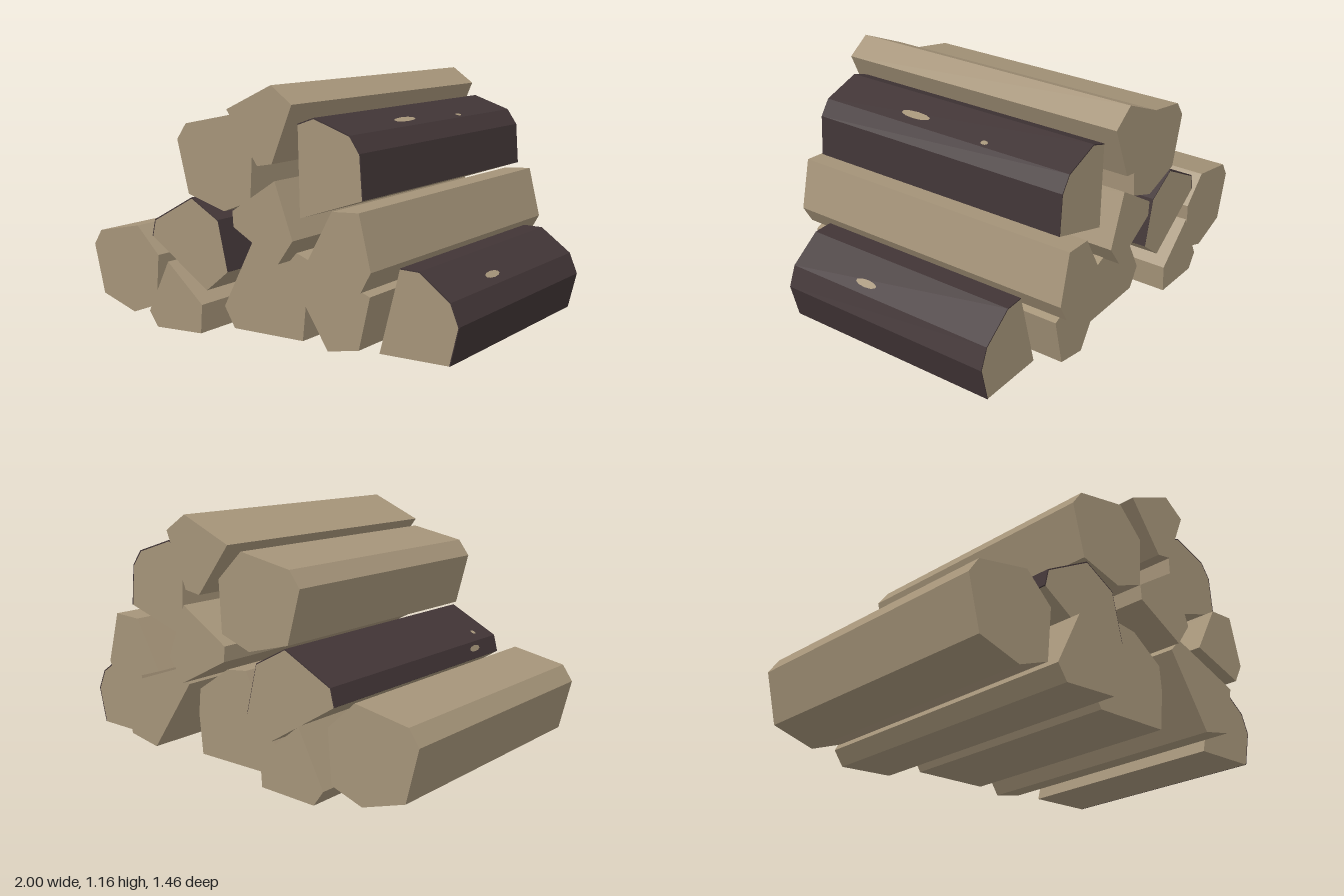
import * as THREE from 'three';

const wood = new THREE.MeshStandardMaterial({ color: 0xa59479 });
wood.name = 'wood';
const bark = new THREE.MeshStandardMaterial({ color: 0x413536 });
bark.name = 'bark';

// Prism along z, centred on z = 0
function prism(name, points, half, material) {
  const shape = new THREE.Shape(points.map(([x, y]) => new THREE.Vector2(x, y)));
  const geometry = new THREE.ExtrudeGeometry(shape, { depth: half * 2, bevelEnabled: false });
  geometry.translate(0, 0, -half);
  const mesh = new THREE.Mesh(geometry, material);
  mesh.name = name;
  return mesh;
}

// Bare split logs: cross-section and half length
const bareLogs = {
  lowerRightEndLog: [0.68, [[-1, .325], [-.95, .4], [-.69, .455], [-.555, .33], [-.575, .085], [-.73, .025], [-.94, .085]]],
  lowerRightSplitLog: [0.73, [[-.57, .07], [-.52, 0], [-.24, .02], [-.23, .155], [-.44, .325]]],
  lowerMiddleLog: [0.59, [[-.22, .12], [-.03, .475], [.08, .465], [.25, .35], [.26, .23], [.24, .04], [-.16, .025]]],
  lowerLeftSplitLog: [0.685, [[.225, .395], [.285, .46], [.665, .33], [.61, .095], [.45, .06]]],
  middleSplitLog: [0.73, [[-.035, .61], [.205, .765], [.3, .52], [.22, .41], [-.03, .54]]],
  middleLeftSplitLog: [0.73, [[.375, .44], [.505, .67], [.64, .68], [.7, .445], [.65, .355]]],
  upperRightLog: [0.68, [[-.41, .89], [-.355, .965], [-.09, 1.02], [.04, .89], [.025, .65], [-.13, .59], [-.345, .645]]],
  topSplitLog: [0.73, [[-.06, 1.05], [.19, 1.165], [.3, 1.09], [.19, .835], [.11, .82]]],
};

// Barked logs: inner split corner, outer bark outline, and bare chips [edge, position on edge, z, half width, half length]
const barkLogs = {
  middleRightBarkLog: {
    half: 0.68, apex: [-.245, .21],
    rim: [[-.59, .42], [-.57, .5], [-.33, .63], [-.17, .545], [-.115, .315]],
    chips: [[1, .2, .55, .014, .014], [0, .6, .47, .015, .045]],
  },
  upperLeftBarkLog: {
    half: 0.66, apex: [.285, .605],
    rim: [[.275, 1.005], [.36, 1.035], [.545, .975], [.595, .905], [.61, .715]],
    chips: [[1, .7, .18, .022, .08], [1, .88, -.22, .013, .018]],
  },
  lowerLeftBarkLog: {
    half: 0.543, apex: [.615, .045],
    rim: [[.715, .43], [.81, .43], [.96, .325], [1, .23], [.96, .06]],
    chips: [[1, .73, .14, .018, .058]],
  },
};

// Flat bare-wood spot lying just above one bark face
function chip(rim, [edge, t, z, halfWidth, halfLength]) {
  const [a, b] = [rim[edge], rim[edge + 1]];
  const dx = b[0] - a[0], dy = b[1] - a[1], len = Math.hypot(dx, dy);
  const normal = new THREE.Vector3(-dy / len, dx / len, 0);
  const mesh = new THREE.Mesh(new THREE.CircleGeometry(1, 10), wood);
  mesh.name = 'bareChip';
  mesh.scale.set(halfWidth, halfLength, 1);
  mesh.quaternion.setFromUnitVectors(new THREE.Vector3(0, 0, 1), normal);
  // Keep the long side of the spot along the log
  const along = new THREE.Vector3(0, 0, 1);
  const across = new THREE.Vector3().crossVectors(along, normal);
  mesh.quaternion.setFromRotationMatrix(new THREE.Matrix4().makeBasis(across, along, normal));
  mesh.position.set(a[0] + dx * t, a[1] + dy * t, z).addScaledVector(normal, 0.003);
  return mesh;
}

function barkedLog(name, { half, apex, rim, chips }) {
  const log = new THREE.Group();
  log.name = name;
  // Wood core reaches to just under the thin bark
  const inner = rim.map(([x, y]) => [apex[0] + (x - apex[0]) * 0.987, apex[1] + (y - apex[1]) * 0.987]);
  log.add(prism('core', [apex, ...inner], half, wood));
  log.add(prism('bark', [...rim, ...inner.slice().reverse()], half, bark));
  for (const spot of chips) log.add(chip(rim, spot));
  return log;
}

export function createModel() {
  const model = new THREE.Group();
  model.name = 'logPile';
  for (const [name, [half, points]] of Object.entries(bareLogs)) model.add(prism(name, points, half, wood));
  for (const [name, spec] of Object.entries(barkLogs)) model.add(barkedLog(name, spec));
  return model;
}
